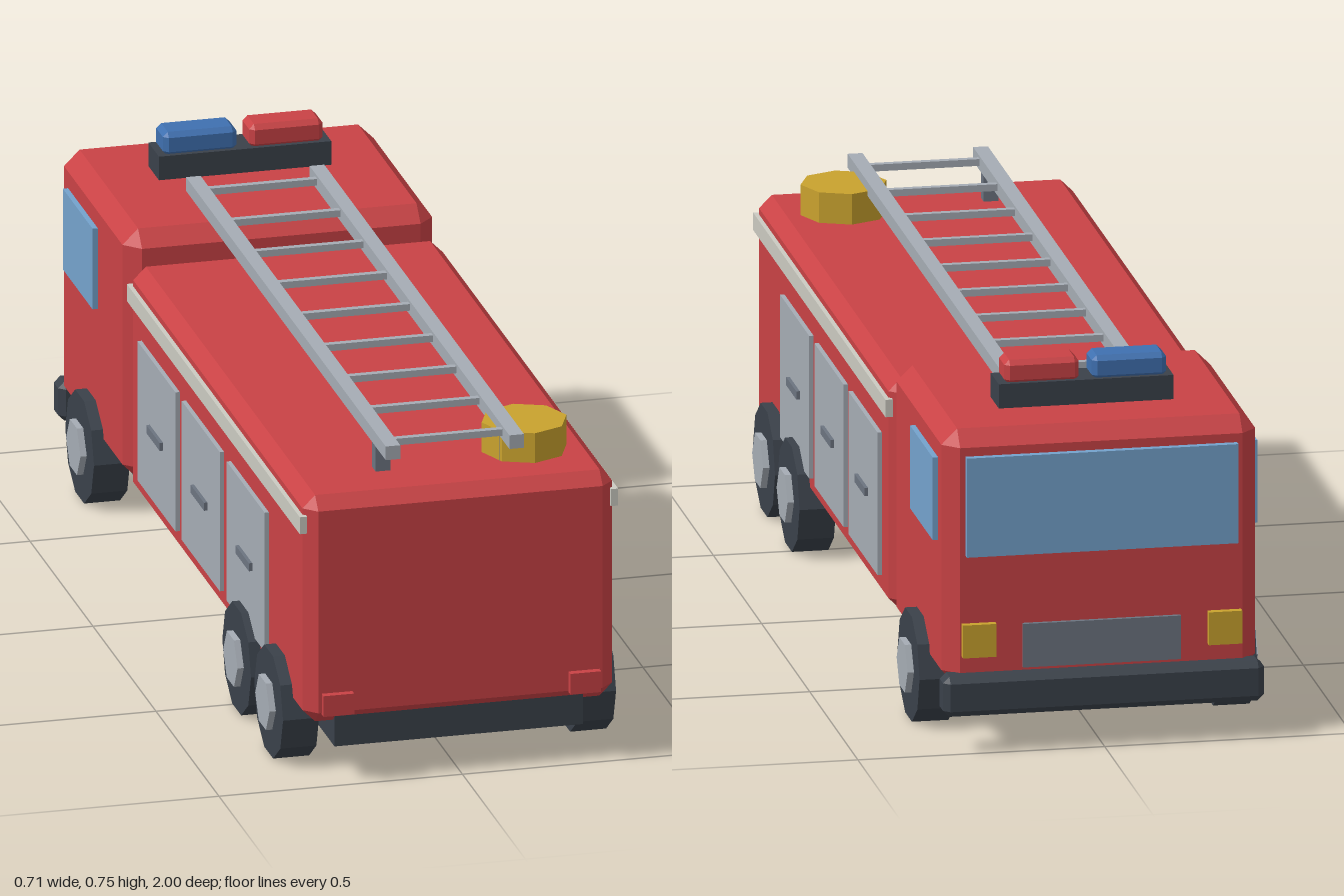
import * as THREE from 'three';
import { ConvexGeometry } from 'three/addons/geometries/ConvexGeometry.js';

const mat = (name, color) => Object.assign(new THREE.MeshStandardMaterial({ color }), { name });

export function createModel() {
  const truck = new THREE.Group();
  truck.name = 'fireTruck';

  const red = mat('red', 0xc94245);
  const dark = mat('charcoal', 0x3a414a);
  const silver = mat('silver', 0xa5acb4);
  const steel = mat('steel', 0x6c7480);
  const cream = mat('cream', 0xcbcac1);
  const glass = mat('glass', 0x74a2cc);
  const amber = mat('amber', 0xc9a22e);
  const blue = mat('blue', 0x3f70b0);

  const add = (name, geometry, material) => {
    const mesh = new THREE.Mesh(geometry, material);
    mesh.name = name;
    truck.add(mesh);
    return mesh;
  };

  // Box from its extents; a bevel chamfers every edge
  const box = (name, material, [x0, x1], [y0, y1], [z0, z1], bevel = 0) => {
    const size = [x1 - x0, y1 - y0, z1 - z0];
    let geometry;
    if (bevel) {
      const points = [];
      for (const sx of [-1, 1]) for (const sy of [-1, 1]) for (const sz of [-1, 1])
        for (let axis = 0; axis < 3; axis++) {
          const p = [sx, sy, sz].map((s, i) => s * (size[i] / 2 - (i === axis ? 0 : bevel)));
          points.push(new THREE.Vector3(...p));
        }
      geometry = new ConvexGeometry(points);
    } else geometry = new THREE.BoxGeometry(...size);
    const mesh = add(name, geometry, material);
    mesh.position.set((x0 + x1) / 2, (y0 + y1) / 2, (z0 + z1) / 2);
    return mesh;
  };

  // The same box on both sides of the truck
  const pair = (name, material, [x0, x1], y, z) => {
    box(name + 'Left', material, [x0, x1], y, z);
    box(name + 'Right', material, [-x1, -x0], y, z);
  };

  // Main masses; the cab is at -z
  box('chassis', dark, [-0.255, 0.255], [0.072, 0.15], [-0.865, 0.97]);
  box('body', red, [-0.318, 0.318], [0.125, 0.605], [-0.41, 0.985], 0.026);
  box('cab', red, [-0.318, 0.318], [0.125, 0.655], [-0.965, -0.437], 0.032);
  box('bumper', dark, [-0.325, 0.325], [0.075, 0.158], [-1, -0.94], 0.013);

  // Cab face and windows
  box('windshield', glass, [-0.275, 0.275], [0.4, 0.605], [-0.98, -0.96]);
  pair('sideWindow', glass, [0.31, 0.329], [0.417, 0.588], [-0.9, -0.664]);
  box('grille', steel, [-0.16, 0.16], [0.165, 0.255], [-0.974, -0.96]);
  pair('headlight', amber, [0.215, 0.283], [0.192, 0.26], [-0.98, -0.955]);

  // Rear lamps
  pair('rearLamp', red, [0.222, 0.285], [0.148, 0.192], [0.97, 1]);

  // Side lockers, handles and stripe
  [0.543, 0.187, -0.165].forEach((z, i) => {
    pair('locker' + (i + 1), silver, [0.31, 0.327], [0.18, 0.475], [z - 0.151, z + 0.151]);
    pair('lockerHandle' + (i + 1), steel, [0.32, 0.334], [0.316, 0.333], [z - 0.053, z + 0.053]);
  });
  pair('stripe', cream, [0.312, 0.327], [0.53, 0.566], [-0.4, 0.973]);

  // Wheels: ten-sided tyres with six-sided hubs, corners pointing fore and aft
  const roller = (r, width, sides) =>
    new THREE.CylinderGeometry(r, r, width, sides).toNonIndexed().rotateZ(Math.PI / 2);
  const tyre = roller(0.114, 0.074, 10);
  const hub = roller(0.057, 0.04, 6);
  tyre.computeVertexNormals();
  hub.computeVertexNormals();
  for (const z of [0.784, 0.53, -0.716])
    for (const side of [-1, 1]) {
      add('tyre', tyre, dark).position.set(side * 0.305, 0.1085, z);
      add('hub', hub, silver).position.set(side * 0.335, 0.1085, z);
    }

  // Roof ladder
  for (const x of [-0.127, 0.127]) {
    box('ladderRail', silver, [x - 0.015, x + 0.015], [0.658, 0.687], [-0.645, 0.94]);
    box('ladderPost', steel, [x - 0.015, x + 0.015], [0.595, 0.66], [0.83, 0.86]);
  }
  for (let i = 0; i < 9; i++) {
    const z = 0.88 - i * 0.184;
    box('ladderRung', silver, [-0.115, 0.115], [0.667, 0.681], [z - 0.007, z + 0.007]);
  }

  // Hose reel on the roof
  const reel = new THREE.CylinderGeometry(0.087, 0.087, 0.073, 8).toNonIndexed();
  reel.computeVertexNormals();
  add('hoseReel', reel, amber).position.set(0.177, 0.6315, 0.805);

  // Beacon bar
  box('beaconBase', dark, [-0.177, 0.177], [0.645, 0.705], [-0.808, -0.724]);
  box('beaconBlue', blue, [-0.165, -0.014], [0.7, 0.75], [-0.802, -0.73], 0.01);
  box('beaconRed', red, [0.012, 0.163], [0.7, 0.75], [-0.802, -0.73], 0.01);

  return truck;
}
